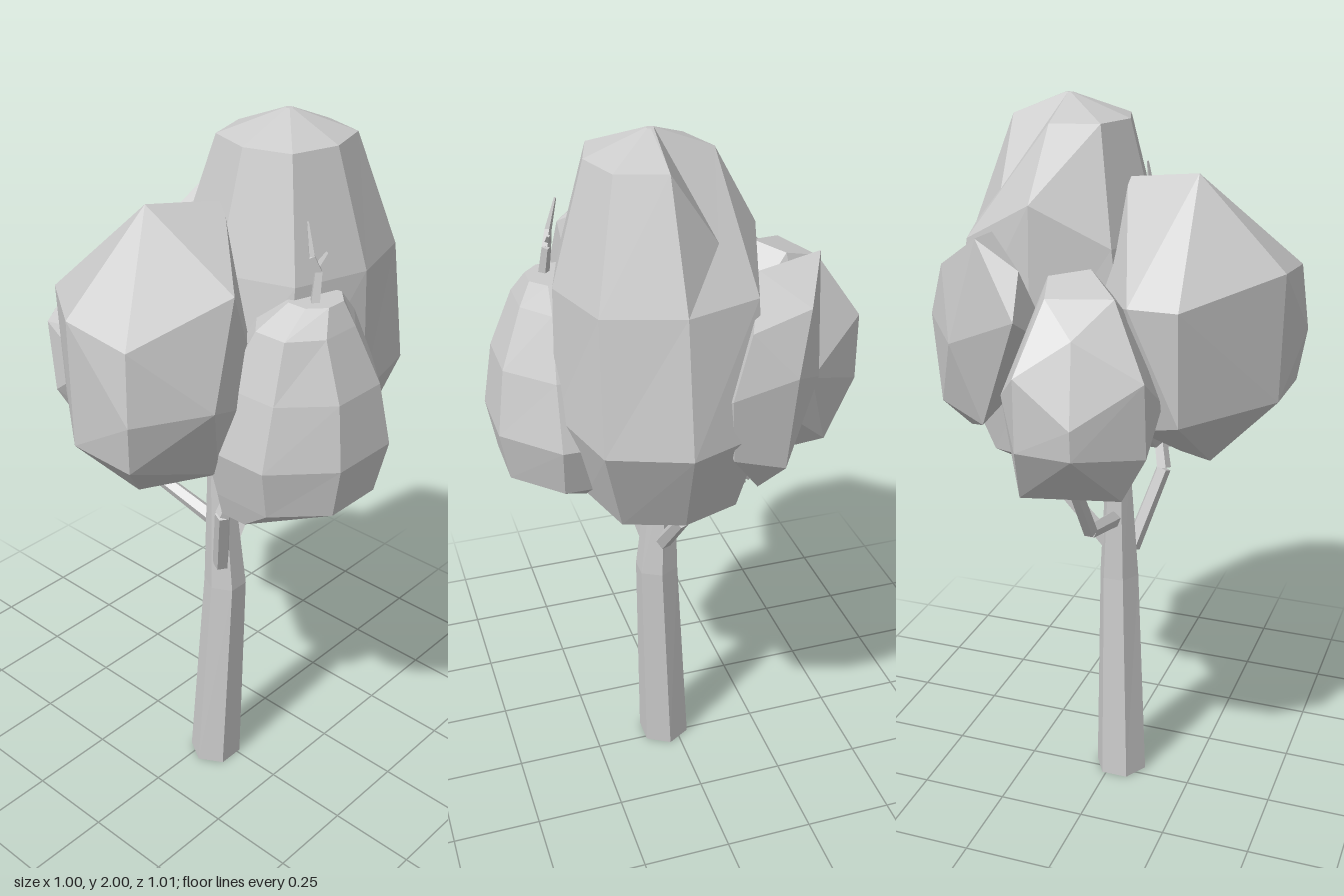
import * as THREE from 'three';
import { ConvexGeometry } from 'three/addons/geometries/ConvexGeometry.js';

const material = new THREE.MeshStandardMaterial({ color: 0xcccccc, flatShading: true });

function addMesh(parent, name, geometry) {
  const mesh = new THREE.Mesh(geometry, material);
  mesh.name = name;
  parent.add(mesh);
}

// Closed skin over horizontal rings, bottom to top: [y, xMin, xMax, zMin, zMax]
function loft(rings, sides, phase = 0) {
  const pos = [], index = [];
  const grow = sides === 8 ? 1.08 : 1;
  for (const [y, x0, x1, z0, z1] of rings) {
    for (let i = 0; i < sides; i++) {
      const a = ((i + phase) / sides) * Math.PI * 2;
      const c = THREE.MathUtils.clamp(Math.cos(a) * grow, -1, 1);
      const s = THREE.MathUtils.clamp(Math.sin(a) * grow, -1, 1);
      pos.push((x0 + x1) / 2 + (c * (x1 - x0)) / 2, y, (z0 + z1) / 2 + (s * (z1 - z0)) / 2);
    }
  }
  for (let r = 0; r < rings.length - 1; r++) {
    for (let i = 0; i < sides; i++) {
      const j = (i + 1) % sides;
      const a = r * sides + i, b = r * sides + j, c = a + sides, d = b + sides;
      index.push(a, c, b, b, c, d);
    }
  }
  const top = (rings.length - 1) * sides;
  for (let i = 1; i < sides - 1; i++) {
    index.push(0, i, i + 1, top, top + i + 1, top + i);
  }
  const g = new THREE.BufferGeometry();
  g.setAttribute('position', new THREE.Float32BufferAttribute(pos, 3));
  g.setIndex(index);
  const flat = g.toNonIndexed();
  flat.computeVertexNormals();
  return flat;
}

// Faceted clump wrapped around a few corner points
const hull = (points) => new ConvexGeometry(points.map((p) => new THREE.Vector3(...p)));

// Branch of tapered segments; each point is [x, y, z, radius]
function branch(parent, name, points, sides = 5) {
  const group = new THREE.Group();
  group.name = name;
  for (let i = 0; i < points.length - 1; i++) {
    const a = new THREE.Vector3(...points[i]), b = new THREE.Vector3(...points[i + 1]);
    const dir = b.clone().sub(a);
    const g = new THREE.CylinderGeometry(points[i + 1][3], points[i][3], dir.length(), sides);
    g.applyQuaternion(new THREE.Quaternion().setFromUnitVectors(
      new THREE.Vector3(0, 1, 0), dir.normalize()));
    const mid = a.add(b).multiplyScalar(0.5);
    g.translate(mid.x, mid.y, mid.z);
    addMesh(group, name + 'Segment', g);
  }
  parent.add(group);
}

export function createModel() {
  const tree = new THREE.Group();
  tree.name = 'tree';

  // Six-sided bent trunk
  addMesh(tree, 'trunk', loft([
    [0, -0.105, 0.05, -0.043, 0.11],
    [0.65, -0.07, 0.047, -0.007, 0.118],
    [1.0, -0.05, 0.022, 0, 0.073],
    [1.3, -0.03, 0.02, 0.01, 0.06],
  ], 6));

  // Branches leading into the crown
  branch(tree, 'rightBranch', [
    [-0.045, 0.73, 0.07, 0.024], [-0.115, 0.96, 0.14, 0.022], [-0.07, 1.15, 0.2, 0.018]]);
  branch(tree, 'leftBranch', [
    [0.02, 0.75, 0.045, 0.024], [0.15, 0.9, 0.03, 0.02], [0.15, 1.1, 0.025, 0.018]]);
  branch(tree, 'backBranch', [
    [-0.01, 0.84, 0.01, 0.024], [-0.02, 0.9, -0.21, 0.02], [-0.03, 1.1, -0.36, 0.018]]);

  // Tall main clump, with a dented back left shoulder and a raised back corner
  const main = loft([
    [0.955, 0.08, 0.2, 0.01, 0.15],
    [1.04, -0.08, 0.37, -0.11, 0.29],
    [1.3, -0.15, 0.495, -0.15, 0.37],
    [1.64, -0.1, 0.43, -0.15, 0.36],
    [1.94, -0.02, 0.31, -0.05, 0.27],
    [2.0, 0.14, 0.16, 0.1, 0.12],
  ], 8);
  const p = main.attributes.position;
  for (let i = 0; i < p.count; i++) {
    const x = p.getX(i), y = p.getY(i), z = p.getZ(i);
    if (y > 1.9 && y < 1.97 && x > 0.2 && z < 0.05) p.setXYZ(i, 0.3, 1.76, -0.01);
    if (y > 1.6 && y < 1.7 && z < -0.14) p.setY(i, 1.75);
  }
  main.computeVertexNormals();
  addMesh(tree, 'mainFoliage', main);

  // Broad clump on the right
  addMesh(tree, 'rightFoliage', hull([
    [-0.5, 1.4, 0.19], [-0.48, 1.6, -0.03], [-0.475, 1.26, -0.03], [-0.48, 1.26, 0.17],
    [-0.48, 1.58, 0.17], [-0.28, 1.55, -0.3], [-0.15, 1.55, -0.3], [-0.28, 1.25, -0.28],
    [-0.02, 1.5, -0.12], [-0.24, 1.83, 0], [-0.03, 1.8, 0.06],
    [-0.31, 1.4, 0.29], [-0.21, 1.66, 0.26], [-0.2, 1.15, 0.2], [-0.29, 1.06, 0],
    [-0.2, 1.07, 0.02], [-0.05, 1.3, 0.22], [-0.15, 1.2, -0.2],
  ]));

  // Low front and back clumps
  addMesh(tree, 'frontFoliage', loft([
    [1.02, -0.18, 0.12, 0.14, 0.33],
    [1.09, -0.2, 0.21, 0.08, 0.48],
    [1.23, -0.23, 0.25, 0.05, 0.505],
    [1.4, -0.19, 0.2, 0.1, 0.48],
    [1.55, -0.14, 0.13, 0.2, 0.42],
    [1.61, -0.06, 0.08, 0.26, 0.39],
  ], 8, 0.5));
  addMesh(tree, 'backFoliage', hull([
    [-0.08, 1.3, -0.51], [0.07, 1.41, -0.495], [0.07, 1.22, -0.495], [-0.08, 1.22, -0.505],
    [0.18, 1.3, -0.32], [0.17, 1.2, -0.25], [-0.23, 1.4, -0.4], [-0.23, 1.2, -0.38],
    [-0.23, 1.3, -0.25], [-0.06, 1.5, -0.44], [0.03, 1.58, -0.38], [-0.13, 1.58, -0.33],
    [0.06, 1.61, -0.28], [-0.03, 1.62, -0.22], [0.13, 1.4, -0.1], [-0.15, 1.4, -0.08],
    [-0.16, 1.07, -0.36], [0.1, 1.06, -0.4], [0.08, 1.03, -0.2], [-0.1, 1.03, -0.2],
    [0, 1.15, -0.08],
  ]));

  // Angular clump at the back left
  addMesh(tree, 'leftFoliage', hull([
    [0.25, 1.69, -0.29], [0.13, 1.62, -0.3], [0.13, 1.5, -0.345], [0.38, 1.6, -0.22],
    [0.44, 1.45, -0.17], [0.43, 1.2, -0.15], [0.37, 1.12, -0.1], [0.28, 1.17, -0.22],
    [0.08, 1.4, -0.2], [0.35, 1.4, -0.26], [0.28, 1.67, -0.12], [0.41, 1.57, -0.06],
    [0.45, 1.42, 0], [0.44, 1.25, -0.01], [0.2, 1.3, 0],
  ]));

  // Bare twig poking out of the front clump
  branch(tree, 'twig', [
    [-0.02, 1.57, 0.345, 0.016], [0.005, 1.68, 0.335, 0.012],
    [-0.01, 1.72, 0.325, 0.009], [-0.005, 1.8, 0.305, 0.003]], 4);
  branch(tree, 'twigShoot', [
    [0, 1.69, 0.33, 0.009], [0.035, 1.72, 0.335, 0.004]], 4);

  return tree;
}
